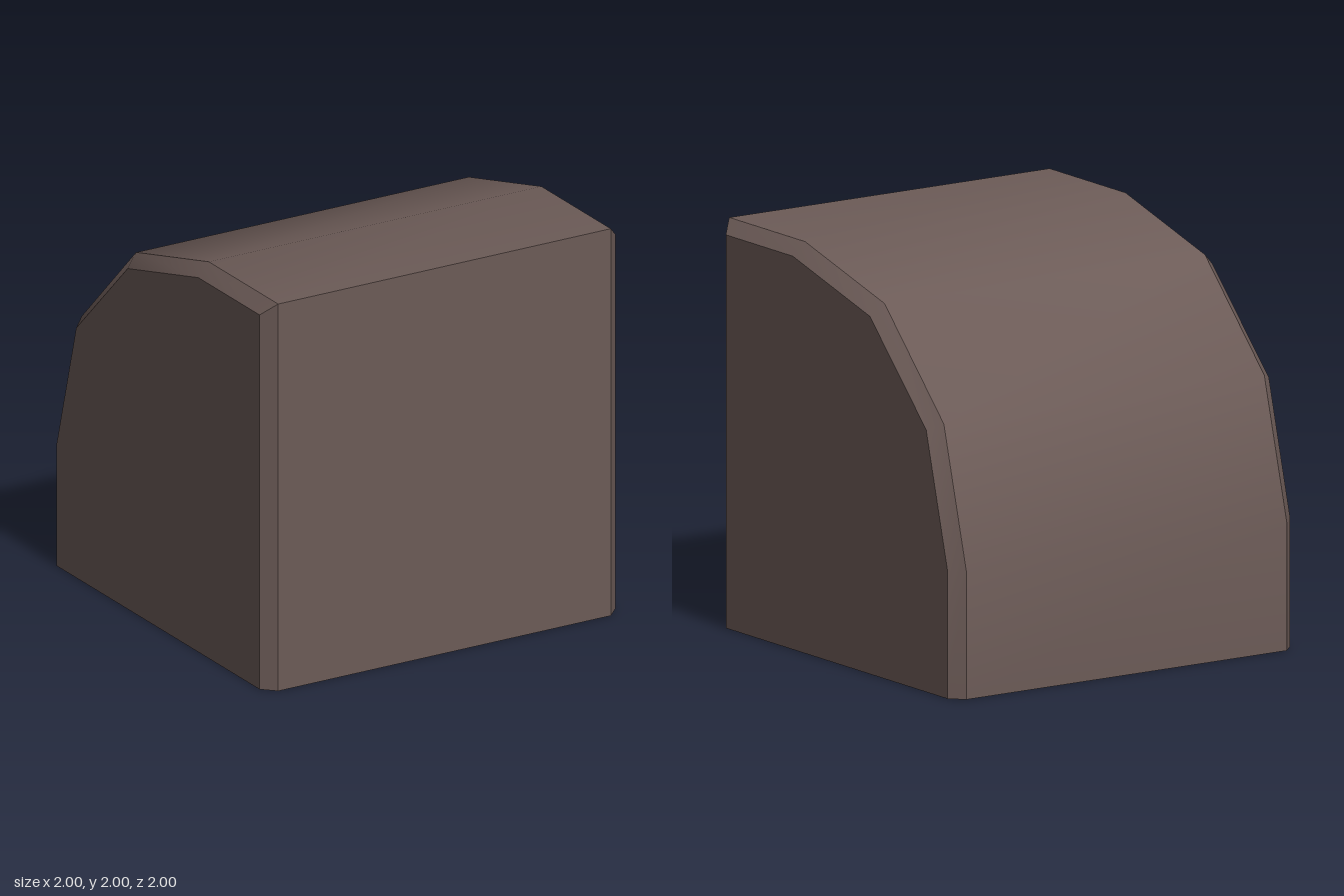
import * as THREE from 'three';
import { toCreasedNormals } from 'three/addons/utils/BufferGeometryUtils.js';

// Side outlines as [z, y], from the front foot over the roof to the back foot
const OUTER = [[1, 0], [1, 2], [0.36, 2], [-0.31, 1.82], [-0.81, 1.32], [-1, 0.63], [-1, 0]];
const INNER = [[0.935, 0], [0.935, 1.935], [0.37, 1.935], [-0.28, 1.76], [-0.755, 1.29], [-0.935, 0.63], [-0.935, 0]];

// Skin across x through matching outlines, capped at both ends and open below
function loft(sections, inward) {
  const pos = [];
  const tri = (a, b, c) => pos.push(...a, ...(inward ? c : b), ...(inward ? b : c));
  const loops = sections.map(([x, outline]) => outline.map(([z, y]) => [x, y, z]));
  for (let s = 0; s < loops.length - 1; s++) {
    const A = loops[s], B = loops[s + 1];
    for (let i = 0; i < A.length - 1; i++) {
      tri(A[i], B[i], B[i + 1]);
      tri(A[i], B[i + 1], A[i + 1]);
    }
  }
  const first = loops[0], last = loops[loops.length - 1];
  for (let i = 1; i < first.length - 1; i++) {
    tri(first[0], first[i], first[i + 1]);
    tri(last[0], last[i + 1], last[i]);
  }
  const geo = new THREE.BufferGeometry();
  geo.setAttribute('position', new THREE.Float32BufferAttribute(pos, 3));
  return toCreasedNormals(geo, 0.7);
}

export function createModel() {
  const group = new THREE.Group();
  const brown = new THREE.MeshStandardMaterial({ name: 'brown casing', color: 0x6c5b57 });
  const black = new THREE.MeshStandardMaterial({ name: 'black core', color: 0x1a1a1a });
  const add = (name, geo, material) => {
    const mesh = new THREE.Mesh(geo, material);
    mesh.name = name;
    group.add(mesh);
    return mesh;
  };

  // Hollow casing with bevelled sides
  const b = 0.935;
  add('casing', loft([[-1, INNER], [-b, OUTER], [b, OUTER], [1, INNER]], false), brown);
  add('casingInside', loft([[-b, INNER], [b, INNER]], true), brown);

  // Downward rim between the outer and inner walls
  const rim = new THREE.Shape([
    [-b, -1], [b, -1], [1, -b], [1, b], [b, 1], [-b, 1], [-1, b], [-1, -b],
  ].map(([x, z]) => new THREE.Vector2(x, z)));
  rim.holes.push(new THREE.Path([[-b, -b], [-b, b], [b, b], [b, -b]].map(([x, z]) => new THREE.Vector2(x, z))));
  add('bottomRim', new THREE.ShapeGeometry(rim).rotateX(Math.PI / 2), brown);

  // Round-bottomed core hanging inside
  const r = 0.285, cy = 0.32, cz = 0.49, half = 0.73, top = 1.8 - cy;
  const profile = new THREE.Shape();
  profile.moveTo(-r, top);
  profile.lineTo(-r, 0);
  profile.absarc(0, 0, r, Math.PI, Math.PI * 2, false);
  profile.lineTo(r, top);
  const coreGeo = new THREE.ExtrudeGeometry(profile, { depth: half * 2, bevelEnabled: false, curveSegments: 24 });
  coreGeo.translate(0, 0, -half).rotateY(Math.PI / 2).translate(0, cy, cz);
  add('core', toCreasedNormals(coreGeo, 0.6), black);

  // Pivot collars joining the core to the side walls
  for (const side of [1, -1]) {
    const collar = add(side > 0 ? 'leftCollar' : 'rightCollar',
      new THREE.CylinderGeometry(0.24, 0.24, b - half, 32).rotateZ(Math.PI / 2), black);
    collar.position.set(side * (half + b) / 2, cy, cz);
  }
  return group;
}
